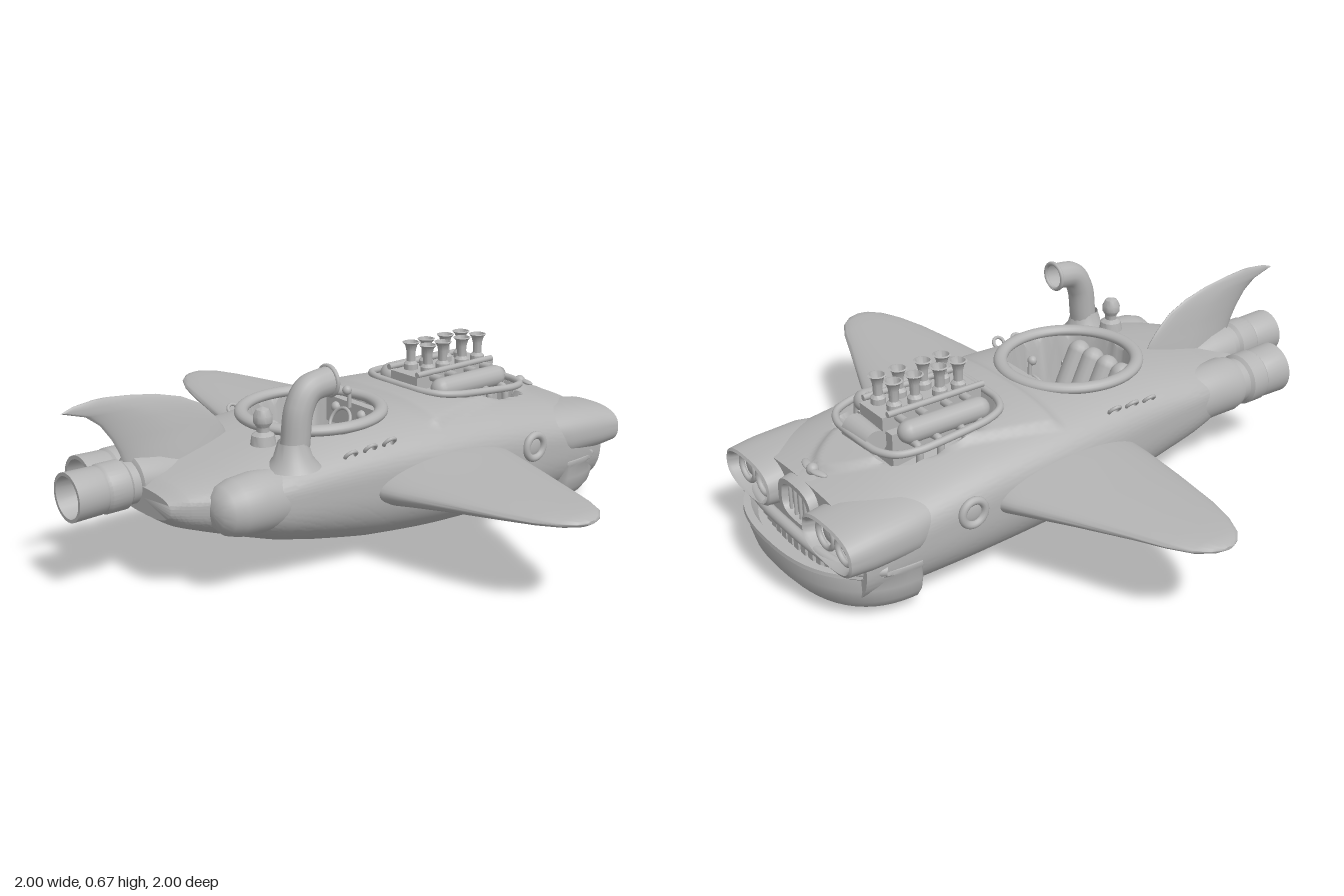
import * as THREE from 'three';
import { toCreasedNormals } from 'three/addons/utils/BufferGeometryUtils.js';

const grey = new THREE.MeshStandardMaterial({ color: 0xb4b4b4, side: THREE.DoubleSide });
grey.name = 'plain grey';

// Skin through superellipse rings [cx, cy, z, halfWidth, up, down, power], capped at both ends.
function loft(rings, seg = 40, crease = 0.8, warp) {
  const pos = [], idx = [];
  for (const [cx, cy, z, w, up, dn = up, n = 2] of rings) {
    for (let j = 0; j < seg; j++) {
      const a = (j / seg) * Math.PI * 2, c = Math.cos(a), s = Math.sin(a);
      const r = 1 / Math.pow(Math.abs(c) ** n + Math.abs(s) ** n, 1 / n);
      const p = new THREE.Vector3(cx + w * r * c, cy + (s > 0 ? up : dn) * r * s, z);
      if (warp && s > 0) warp(p);
      pos.push(p.x, p.y, p.z);
    }
  }
  for (let i = 0; i < rings.length - 1; i++) for (let j = 0; j < seg; j++) {
    const a = i * seg + j, b = i * seg + (j + 1) % seg;
    idx.push(a, b, b + seg, a, b + seg, a + seg);
  }
  const last = rings.length - 1;
  for (const [i, flip] of [[0, true], [last, false]]) {
    const centre = pos.length / 3;
    pos.push(rings[i][0], rings[i][1], rings[i][2]);
    for (let j = 0; j < seg; j++) {
      const a = i * seg + j, b = i * seg + (j + 1) % seg;
      idx.push(centre, flip ? b : a, flip ? a : b);
    }
  }
  const g = new THREE.BufferGeometry();
  g.setAttribute('position', new THREE.Float32BufferAttribute(pos, 3));
  g.setIndex(idx);
  return toCreasedNormals(g, crease);
}

export function createModel() {
  const model = new THREE.Group();
  const add = (name, geo, x = 0, y = 0, z = 0, parent = model) => {
    const m = new THREE.Mesh(geo, grey);
    m.name = name;
    m.position.set(x, y, z);
    parent.add(m);
    return m;
  };
  const lathe = (pts, seg = 32) =>
    toCreasedNormals(new THREE.LatheGeometry(pts.map(p => new THREE.Vector2(...p)), seg), 0.6);
  const tube = (pts, r, closed = false, n = 64) => new THREE.TubeGeometry(
    new THREE.CatmullRomCurve3(pts.map(p => new THREE.Vector3(...p)), closed), n, r, 14, closed);
  const step = THREE.MathUtils.smoothstep;

  // Hull stations: z, half width, top, bottom
  const stations = [
    [-0.87, 0.36, 0.335, 0.012], [-0.7, 0.375, 0.38, 0.003], [-0.4, 0.375, 0.425, 0],
    [-0.15, 0.37, 0.44, 0.01], [0.1, 0.352, 0.442, 0.035], [0.3, 0.335, 0.43, 0.075],
    [0.45, 0.325, 0.412, 0.115], [0.58, 0.3, 0.39, 0.16], [0.67, 0.24, 0.37, 0.19],
    [0.74, 0.19, 0.352, 0.215], [0.785, 0.15, 0.33, 0.245]];
  const size = new THREE.CatmullRomCurve3(stations.map(s => new THREE.Vector3(s[1], s[2], s[3])));
  const along = new THREE.CatmullRomCurve3(stations.map(s => new THREE.Vector3(s[0], 0, 0)));
  const hullRings = [];
  for (let i = 0; i <= 150; i++) {
    const s = size.getPoint(i / 150), z = along.getPoint(i / 150).x;
    const mid = s.z + (s.y - s.z) * 0.6;
    hullRings.push([0, mid, z, s.x, s.y - mid, mid - s.z, 2.7]);
  }
  // Raised hood, sunken engine bay and cockpit
  const shape = p => {
    if (p.y < 0.3) return;
    const hw = p.z > -0.82 && p.z < -0.12 ? 0.31 * Math.sqrt((p.z + 0.82) / 0.69) : 0;
    if (hw) p.y += 0.018 * step(hw - Math.abs(p.x), 0, 0.025) * step(-0.12 - p.z, 0, 0.02);
    const bay = Math.hypot((p.x / 0.205) ** 2, ((p.z + 0.455) / 0.225) ** 2);
    p.y -= 0.085 * (1 - step(bay, 0.85, 1));
    const pit = Math.hypot(p.x / 0.215, (p.z - 0.14) / 0.225);
    p.y += (0.21 - p.y) * (1 - step(pit, 0.93, 1));
  };
  add('hull', loft(hullRings, 180, 0.9, shape));

  // Lower jaw: horizontal rings stacked upward
  const jaw = [[0, 0.6, 0.1, 3], [0.012, 0.6, 0.27], [0.035, 0.342, 0.25], [0.065, 0.362, 0.273],
    [0.11, 0.372, 0.285], [0.15, 0.372, 0.28], [0.16, 0.378, 0.3], [0.172, 0.376, 0.298],
    [0.174, 0.36, 0.275], [0.13, 0.345, 0.255]]
    .map(([y, w, f]) => [0, 0.7, y, Math.min(w, y < 0.02 ? 0.27 : w), f - (y === 0.012 ? 0.08 : 0), 0.05, 2.5]);
  add('lowerJaw', loft(jaw, 64).rotateX(-Math.PI / 2));
  add('upperLip', tube([[-0.36, 0.175, -0.8], [-0.3, 0.18, -0.885], [0, 0.19, -0.925],
    [0.3, 0.18, -0.885], [0.36, 0.175, -0.8]], 0.018));
  for (let i = -7; i <= 7; i++) {
    const x = i * 0.038;
    add('tooth', new THREE.BoxGeometry(0.028, 0.045, 0.02), x, 0.152, -0.915 + 0.5 * x * x);
  }

  // Nose scoop with winged ornament
  add('noseScoop', loft([[0, 0.25, -0.86, 0.07, 0.05, 0.05, 3], [0, 0.25, -0.9, 0.08, 0.06, 0.05, 3],
    [0, 0.25, -0.9, 0.1, 0.075, 0.07, 3], [0, 0.26, -0.84, 0.1, 0.085, 0.07, 3],
    [0, 0.26, -0.7, 0.09, 0.08, 0.07, 3]]));
  for (let i = -2; i <= 2; i++)
    add('noseGrilleBar', new THREE.CylinderGeometry(0.006, 0.006, 0.11, 8), i * 0.03, 0.25, -0.88);
  add('ornamentBody', new THREE.SphereGeometry(0.02, 16, 12), 0, 0.355, -0.83);

  for (const s of [-1, 1]) {
    const wing = add('ornamentWing', new THREE.SphereGeometry(0.035, 16, 10), s * 0.035, 0.357, -0.83);
    wing.scale.set(1, 0.2, 0.4);
    wing.rotation.y = -s * 0.3;

    // Twin headlight pods
    const cx = s * 0.243;
    add('headlightPod', loft([[cx, 0.25, -0.86, 0.11, 0.045, 0.045, 2.4], [cx, 0.25, -0.925, 0.128, 0.056, 0.056, 2.4],
      [cx, 0.25, -0.935, 0.134, 0.062, 0.062, 2.5], [cx, 0.25, -0.93, 0.142, 0.07, 0.07, 2.6],
      [cx, 0.253, -0.85, 0.144, 0.083, 0.08, 2.6], [cx, 0.26, -0.7, 0.14, 0.09, 0.09, 2.5],
      [cx * 0.9, 0.27, -0.5, 0.11, 0.07, 0.07, 2.4]], 48));
    for (const d of [-0.055, 0.055]) {
      add('headlightRing', new THREE.TorusGeometry(0.045, 0.009, 10, 28), cx + d, 0.25, -0.9);
      add('headlightLens', new THREE.SphereGeometry(0.042, 20, 14), cx + d, 0.25, -0.875).scale.z = 0.6;
    }

    // Wings: rings of [span, leading z, trailing z, height, half thickness]
    const wingRings = [[0.28, -0.42, 0.15, 0.25, 0.078], [0.36, -0.418, 0.15, 0.25, 0.078],
      [0.42, -0.395, 0.142, 0.256, 0.069], [0.6, -0.322, 0.108, 0.273, 0.049], [0.78, -0.248, 0.07, 0.287, 0.033],
      [0.88, -0.208, 0.04, 0.293, 0.025], [0.95, -0.17, 0.005, 0.297, 0.019], [0.985, -0.13, -0.03, 0.299, 0.013],
      [1, -0.095, -0.06, 0.3, 0.005]]
      .map(([x, a, b, y, t]) => [-s * (a + b) / 2, y, x, (b - a) / 2, t]);
    add('wing', loft(wingRings, 48).rotateY(s * Math.PI / 2));

    // Side ports
    add('sidePortRing', new THREE.TorusGeometry(0.04, 0.013, 12, 32).rotateY(Math.PI / 2), s * 0.378, 0.27, -0.51);
    add('sidePortCap', new THREE.SphereGeometry(0.037, 20, 14), s * 0.37, 0.27, -0.51).scale.x = 0.35;
    [0.08, 0.155, 0.23].forEach((z, i) => {
      const v = add('sideVent', new THREE.TorusGeometry(0.02, 0.006, 8, 20), s * (0.312 - i * 0.004), 0.396 - i * 0.006, z);
      v.rotation.set(Math.PI / 2, s * 0.85, 0);
    });
  }

  // Rear pods
  const pod = (x, end) => loft([[x * 0.9, 0.28, 0.25, 0.06, 0.06], [x, 0.285, 0.42, 0.085, 0.095],
    [x, 0.29, 0.55, 0.09, 0.095], ...end.map(([z, r]) => [x, 0.29, z, r, r])]);
  add('leftRearPod', pod(0.235, [[0.62, 0.088], [0.66, 0.075], [0.685, 0.05], [0.695, 0.015]]));
  add('rightRearPod', pod(-0.235, [[0.63, 0.094], [0.655, 0.088], [0.66, 0.07]]));
  add('centreRearPod', loft([[-0.065, 0.3, 0.5, 0.06, 0.06], [-0.065, 0.325, 0.7, 0.085, 0.08],
    [-0.065, 0.33, 0.78, 0.08, 0.078], [-0.065, 0.33, 0.79, 0.06, 0.06]]));

  // Hollow stepped exhausts
  const exhaust = (r, len) => lathe([[r * 0.88, 0], [r * 0.88, len * 0.3], [r, len * 0.34], [r, len * 0.58],
    [r * 0.93, len * 0.61], [r * 0.96, len * 0.64], [r * 0.99, len], [r * 0.85, len], [r * 0.7, len * 0.5],
    [0.001, len * 0.45]]).rotateX(Math.PI / 2);
  add('sideExhaust', exhaust(0.088, 0.25), -0.24, 0.29, 0.61);
  add('centreExhaust', exhaust(0.077, 0.27), -0.063, 0.327, 0.73);

  // Swept tail fin: [height, front z, back z, half thickness]
  const finRings = [[0.33, 0.41, 0.8, 0.05], [0.39, 0.425, 0.805, 0.042], [0.43, 0.44, 0.82, 0.034],
    [0.47, 0.47, 0.84, 0.028], [0.52, 0.52, 0.875, 0.022], [0.555, 0.59, 0.92, 0.016],
    [0.58, 0.68, 1, 0.011], [0.594, 0.77, 0.96, 0.008], [0.601, 0.84, 0.9, 0.004]]
    .map(([y, a, b, t]) => [-0.06 - (y - 0.33) * 0.04, -(a + b) / 2, y, t, (b - a) / 2, (b - a) / 2, 1.7]);
  add('tailFin', loft(finRings, 48).rotateX(-Math.PI / 2));

  // Air pipe with a forward-turned mouth, and a rear lamp
  add('airPipe', tube([[0.25, 0.34, 0.41], [0.25, 0.45, 0.4], [0.25, 0.55, 0.385], [0.25, 0.602, 0.35],
    [0.25, 0.617, 0.27]], 0.045));
  add('airPipeMouth', new THREE.TorusGeometry(0.045, 0.007, 10, 32), 0.25, 0.617, 0.272);
  add('airPipeFoot', lathe([[0.085, 0], [0.06, 0.03], [0.045, 0.08]]), 0.25, 0.375, 0.41);
  add('rearLamp', lathe([[0.04, 0], [0.035, 0.03], [0.02, 0.04], [0.02, 0.055], [0.03, 0.07], [0.03, 0.09],
    [0.02, 0.11], [0.001, 0.118]], 24), 0.13, 0.42, 0.43);

  // Cockpit
  const rim = add('cockpitRim', new THREE.TorusGeometry(0.22, 0.022, 16, 72).rotateX(Math.PI / 2), 0, 0.44, 0.14);
  rim.scale.set(1, 0.8, 1.04);
  for (let i = 0; i < 4; i++) {
    const x = -0.112 + i * 0.075;
    const cushion = add('seatCushion', new THREE.CapsuleGeometry(0.039, 0.16, 6, 14), x, 0.25, 0.1);
    cushion.rotation.x = Math.PI / 2;
    const back = add('seatBack', new THREE.CapsuleGeometry(0.039, 0.12, 6, 14), x, 0.33, 0.25);
    back.rotation.x = 0.45;
  }
  add('dashboard', new THREE.BoxGeometry(0.25, 0.09, 0.03), 0, 0.385, -0.04);
  for (const x of [-0.07, 0.06]) add('dashDial', new THREE.SphereGeometry(0.018, 12, 8), x, 0.4, -0.022);
  const wheel = add('steeringWheel', new THREE.TorusGeometry(0.045, 0.006, 8, 28), 0, 0.375, 0.02);
  wheel.rotation.x = -0.5;
  add('cockpitKnob', new THREE.SphereGeometry(0.016, 14, 10), 0, 0.475, -0.01);
  add('cockpitStalk', new THREE.CylinderGeometry(0.006, 0.008, 0.06, 8), 0, 0.445, -0.02);

  // Engine bay frame
  const bayPath = [];
  for (let i = 0; i < 24; i++) {
    const a = (i / 24) * Math.PI * 2, r = 1 / Math.pow(Math.cos(a) ** 4 + Math.sin(a) ** 4, 0.25);
    const z = -0.455 + 0.225 * r * Math.sin(a);
    bayPath.push([0.205 * r * Math.cos(a), 0.435 + (z + 0.455) * 0.09, z]);
  }
  add('engineBayRim', tube(bayPath, 0.012, true, 96));

  // Engine
  const engine = new THREE.Group();
  engine.name = 'engine';
  model.add(engine);
  add('engineBlock', new THREE.BoxGeometry(0.2, 0.12, 0.34), 0, 0.38, -0.44, engine);
  add('intakeManifold', new THREE.BoxGeometry(0.13, 0.05, 0.36), 0, 0.46, -0.44, engine);
  add('blower', new THREE.CylinderGeometry(0.04, 0.045, 0.13, 20).rotateZ(Math.PI / 2), 0, 0.41, -0.645, engine);
  const trumpet = lathe([[0.024, 0], [0.024, 0.02], [0.015, 0.03], [0.016, 0.065], [0.021, 0.085], [0.03, 0.095],
    [0.024, 0.097], [0.013, 0.06], [0.001, 0.05]], 20);
  for (const s of [-1, 1]) {
    const cover = add('valveCover', new THREE.CapsuleGeometry(0.037, 0.25, 6, 16), s * 0.127, 0.45, -0.44, engine);
    cover.rotation.x = Math.PI / 2;
    add('fuelRail', new THREE.CylinderGeometry(0.01, 0.01, 0.35, 10).rotateX(Math.PI / 2), s * 0.07, 0.495, -0.43, engine);
    [-0.33, -0.4, -0.49, -0.565].forEach(z => {
      add('trumpet', trumpet, s * 0.033, 0.484, z + s * -0.008, engine);
      add('intakeBranch', new THREE.CylinderGeometry(0.014, 0.014, 0.07, 10).rotateZ(Math.PI / 2), s * 0.075, 0.475, z, engine);
      add('headerPipe', tube([[s * 0.13, 0.42, z], [s * 0.175, 0.42, z], [s * 0.18, 0.34, z]], 0.012, false, 12), 0, 0, 0, engine);
    });
  }
  return model;
}
